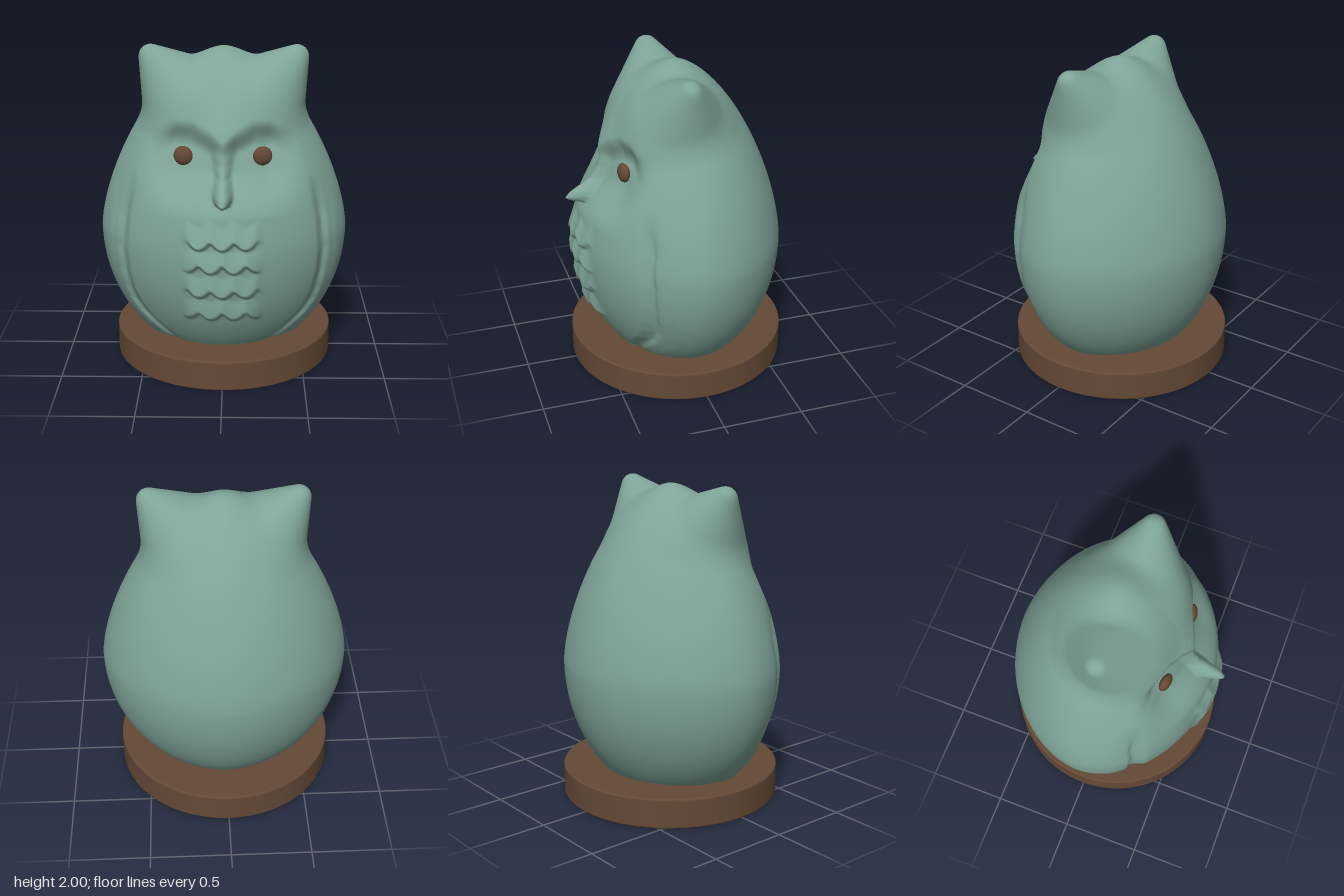
import * as THREE from 'three';
import { mergeVertices } from 'three/addons/utils/BufferGeometryUtils.js';

const { lerp, clamp, smoothstep } = THREE.MathUtils;
const smoothMin = (a, b, k) => {
  const h = clamp(0.5 + 0.5 * (b - a) / k, 0, 1);
  return lerp(b, a, h) - k * h * (1 - h);
};
// piecewise-linear lookup in [key, value] pairs with ascending keys
const lookup = (pts, k) => {
  if (k <= pts[0][0]) return pts[0][1];
  for (let i = 1; i < pts.length; i++) {
    const [a, va] = pts[i - 1], [b, vb] = pts[i];
    if (k <= b) return lerp(va, vb, (k - a) / (b - a));
  }
  return pts[pts.length - 1][1];
};

// egg taper: 1 at the widest height, 0 at the crown
const taper = (y, p) => y > 0.85
  ? Math.max(1 - Math.pow((y - 0.85) / 1.135, p), 0.00001) ** 0.6
  : Math.sqrt(Math.max(1 - ((0.85 - y) / 0.89) ** 2, 0.0001));

// ear: a wide cone leaning outwards, with a round base and a round tip
const earBase = new THREE.Vector3(0.16, 1.575, 0.04);
const earDir = new THREE.Vector3(0.443, 1.925, 0.045).sub(earBase);
const earLength = earDir.length();
earDir.normalize();
const baseRadius = 0.335, tipRadius = 0.075;
const earTan = Math.tan(Math.asin((baseRadius - tipRadius) / earLength));
const q = new THREE.Vector3();
function earDistance(x, y, z) {
  q.set(Math.abs(x), y, z).sub(earBase);
  const along = q.dot(earDir);
  const radial = Math.sqrt(Math.max(q.lengthSq() - along * along, 0));
  const s = clamp(along - radial * earTan, 0, earLength);
  return Math.hypot(along - s, radial) - lerp(baseRadius, tipRadius, s / earLength);
}

// egg-shaped trunk blended with the ears
function field(x, y, z) {
  const w = 0.775 * taper(y, 1.5);
  const d = z > 0 ? 0.642 * taper(y, 1.7) : 0.665 * taper(y, 1.5);
  const ring = (Math.abs(x / w) ** 1.85 + Math.abs(z / d) ** 1.85) ** (1 / 1.85);
  const egg = Math.max((ring - 1) * Math.min(w, d), y - 1.985, 0.1 - y);
  return smoothMin(egg, earDistance(x, y, z), 0.06);
}

// sunken face below the arched brows
function faceDish(x, y) {
  const brow = lookup([[0, 1.47], [0.08, 1.54], [0.18, 1.585], [0.28, 1.58], [0.42, 1.51], [0.55, 1.36]], x);
  const below = smoothstep(brow - y, -0.03, 0.14);
  const fade = smoothstep(y, 1.06, 1.34) * (1 - smoothstep(x, 0.24, 0.52));
  return -0.1 * below * fade;
}

// overlapping scalloped breast feathers
function feathers(x, y) {
  let bump = 0;
  [0.9, 0.755, 0.59, 0.43].forEach((edge, i) => {
    const lobe = Math.abs(Math.cos(Math.PI * (x / 0.14 + i / 2)));
    const t = (y - edge - 0.05 * (1 - lobe)) / 0.12;
    bump = Math.max(bump, t < 0 ? smoothstep(t, -0.2, 0) : 1 - t);
  });
  return 0.035 * bump * (1 - smoothstep(Math.abs(x), 0.16, 0.25));
}

// wing front edge: a step down from the belly and a soft rolled border
const wingLine = [[0.2, 0.26], [0.28, 0.36], [0.36, 0.45], [0.44, 0.51], [0.52, 0.545],
  [0.65, 0.575], [0.8, 0.588], [1, 0.57], [1.25, 0.52]];
function wingStep(x, y) {
  const d = (x - lookup(wingLine, y)) * lerp(0.72, 1, smoothstep(y, 0.3, 0.65));
  const on = (1 - smoothstep(y, 1.0, 1.3)) * lerp(0.5, 1, smoothstep(y, 0.2, 0.45));
  const step = smoothstep(d, -0.015, 0.02) * (1 - smoothstep(d, 0.02, 0.13));
  const roll = Math.exp(-(((d - 0.06) / 0.025) ** 2));
  return on * (0.016 * roll - 0.05 * step);
}

// hooked beak, widening into a bridge between the eyes
const beakProfile = [[1.125, 0.3], [1.14, 0.66], [1.165, 0.7], [1.195, 0.675], [1.22, 0.635],
  [1.28, 0.54], [1.35, 0.495], [1.45, 0.465], [1.52, 0.44]];
const beak = (x, y) => lookup(beakProfile, y - 6 * x * x) - lerp(45, 18, smoothstep(y, 1.22, 1.4)) * x * x;

function bodyGeometry() {
  const sphere = new THREE.SphereGeometry(1, 300, 220);
  sphere.deleteAttribute('uv');
  sphere.deleteAttribute('normal');
  const geo = mergeVertices(sphere, 1e-5);
  const pos = geo.attributes.position;
  const dir = new THREE.Vector3();
  for (let i = 0; i < pos.count; i++) {
    dir.fromBufferAttribute(pos, i).normalize();
    // push the vertex out from the centre until it meets the surface
    let lo = 0, hi = 1.4;
    for (let n = 0; n < 26; n++) {
      const r = (lo + hi) / 2;
      if (field(dir.x * r, 1 + dir.y * r, dir.z * r) < 0) lo = r; else hi = r;
    }
    const x = dir.x * lo, y = 1 + dir.y * lo, ax = Math.abs(x);
    let z = dir.z * lo;
    // carve the front
    if (z > 0.08) {
      const front = smoothstep(z, 0.08, 0.25);
      z += front * (faceDish(ax, y) + feathers(x, y) + wingStep(ax, y));
      if (ax < 0.15 && y > 1.1 && y < 1.56) z = -smoothMin(-z, -beak(ax, y), 0.03);
    }
    pos.setXYZ(i, x, y, z);
  }
  geo.computeVertexNormals();
  return geo;
}

export function createModel() {
  const group = new THREE.Group();
  const green = new THREE.MeshStandardMaterial({ color: 0x7fa498 });
  green.name = 'sage green';
  const brown = new THREE.MeshStandardMaterial({ color: 0x654936 });
  brown.name = 'wood brown';
  const add = (name, geo, mat) => {
    const mesh = new THREE.Mesh(geo, mat);
    mesh.name = name;
    group.add(mesh);
    return mesh;
  };

  add('body', bodyGeometry(), green);

  // round plinth with softened rims
  const disc = new THREE.Shape().absarc(0, 0, 0.678, 0, Math.PI * 2);
  const plinth = new THREE.ExtrudeGeometry(disc, {
    depth: 0.166, bevelThickness: 0.012, bevelSize: 0.012, bevelSegments: 3, curveSegments: 48,
  });
  plinth.rotateX(-Math.PI / 2).translate(0, 0.012, -0.01);
  add('plinth', plinth, brown);

  // flattened bead eyes
  for (const side of [-1, 1]) {
    const eye = add(side > 0 ? 'leftEye' : 'rightEye', new THREE.SphereGeometry(0.058, 32, 20), brown);
    eye.scale.z = 0.55;
    eye.position.set(side * 0.235, 1.395, 0.388);
    eye.rotation.y = side * 0.2;
  }
  return group;
}
